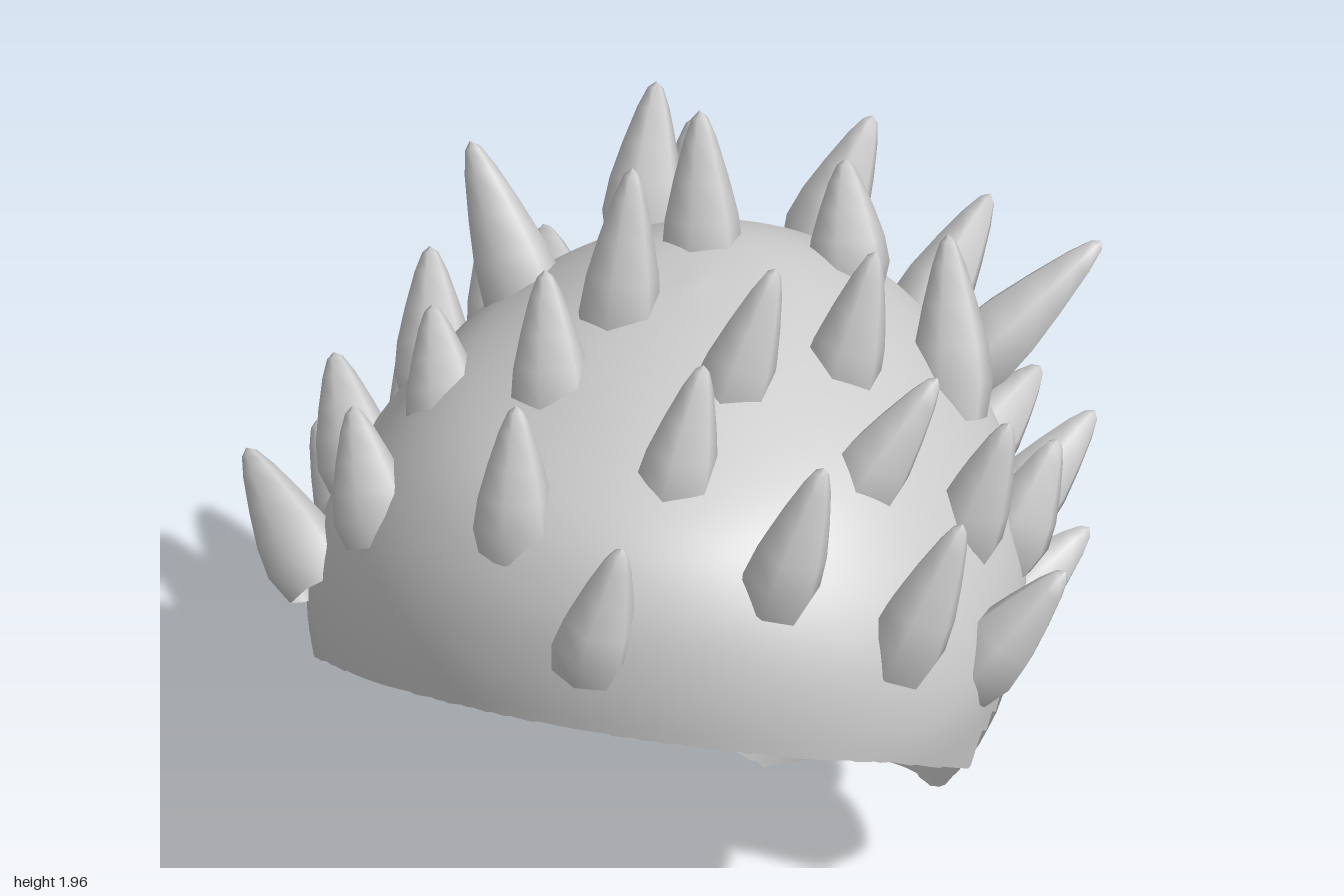
import * as THREE from 'three';

const V = (x, y, z) => new THREE.Vector3(x, y, z);

// Horizontal rings of the dome, top to bottom: y, front z, back z, half width, z of widest point
const RINGS = [
  [1.67, 0.05, 0.05, 0, 0.05], [1.65, 0.28, -0.14, 0.16, 0.08], [1.6, 0.52, -0.27, 0.3, 0.14],
  [1.5, 0.77, -0.42, 0.48, 0.24], [1.37, 0.9, -0.58, 0.61, 0.31], [1.2, 0.965, -0.7, 0.72, 0.35],
  [1.0, 0.985, -0.78, 0.775, 0.35], [0.8, 0.97, -0.8, 0.755, 0.35], [0.6, 0.95, -0.74, 0.72, 0.35],
  [0.4, 0.9, -0.655, 0.655, 0.35], [0.2, 0.9, -0.57, 0.6, 0.35], [-0.02, 0.9, -0.455, 0.52, 0.35],
];
const sides = new THREE.CatmullRomCurve3(RINGS.map(r => V(r[3], r[0], r[4])), false, 'catmullrom');
const ends = new THREE.CatmullRomCurve3(RINGS.map(r => V(r[1], r[2], 0)), false, 'catmullrom');

// Point on the dome: s runs from the crown down, a runs around from the front
function domePoint(s, a) {
  const p = sides.getPoint(s), e = ends.getPoint(s), c = Math.cos(a);
  const z = p.z + c * (c > 0 ? e.x - p.z : p.z - e.y);
  return V(p.x * Math.sin(a), p.y, z);
}

// Side outline of the opening: z, y, from the nape to the brim
const CUT = [[-0.46, 0], [-0.21, 0.23], [-0.09, 0.44], [-0.06, 0.6], [-0.045, 0.84],
  [0.4, 0.84], [0.43, 0.77], [0.7, 0.95], [0.99, 1.105]];
function cutHeight(p) {
  let y = p.z < CUT[0][0] ? 0 : CUT[CUT.length - 1][1];
  for (let i = 1; i < CUT.length; i++) {
    const [z0, y0] = CUT[i - 1], [z1, y1] = CUT[i];
    if (p.z >= z0 && p.z < z1) y = y0 + (y1 - y0) * (p.z - z0) / (z1 - z0);
  }
  // Torn edge over the ears
  if (p.z > -0.04 && p.z < 0.39) y += 0.05 * (((p.z + 1) / 0.075) % 1) - 0.02;
  return Math.max(y, 0.42 * Math.abs(p.x));
}

function shellGeometry(cols = 300, rows = 40) {
  const pos = [], index = [];
  for (let i = 0; i < cols; i++) {
    const a = (i / cols) * Math.PI * 2;
    let end = 0.2;
    while (end < 1) {
      const p = domePoint(end, a);
      if (p.y <= cutHeight(p)) break;
      end = Math.min(1, end + 0.002);
    }
    for (let j = 0; j <= rows; j++) pos.push(...domePoint(end * j / rows, a).toArray());
    const n = ((i + 1) % cols) * (rows + 1), m = i * (rows + 1);
    for (let j = 0; j < rows; j++) {
      if (j) index.push(m + j, m + j + 1, n + j);
      index.push(n + j, m + j + 1, n + j + 1);
    }
  }
  const g = new THREE.BufferGeometry();
  g.setAttribute('position', new THREE.Float32BufferAttribute(pos, 3));
  g.setIndex(index);
  g.computeVertexNormals();
  // All crown vertices share one normal
  for (let i = 0; i < cols; i++) g.attributes.normal.setXYZ(i * (rows + 1), 0, 1, 0);
  return g;
}

// Spikes as base x, y, z then tip x, y, z
const CROWN_SPIKES = [
  [-0.14, 1.62, 0.17, -0.14, 1.955, 0.07], [-0.04, 1.6, -0.13, -0.08, 1.91, -0.24],
  [0.16, 1.58, 0.32, 0.235, 1.865, 0.22], [0.35, 1.53, 0.11, 0.405, 1.815, 0.03],
  [-0.22, 1.55, 0.41, -0.27, 1.81, 0.3], [0.12, 1.52, 0.6, 0.155, 1.78, 0.5],
  [-0.2, 1.45, 0.76, -0.22, 1.715, 0.68], [0.03, 1.29, 0.93, 0.09, 1.545, 0.9],
  [-0.42, 1.46, -0.05, -0.585, 1.77, -0.17], [0.24, 1.53, -0.31, 0.2, 1.72, -0.41],
  [-0.26, 1.48, -0.4, -0.28, 1.72, -0.57], [0.1, 1.4, -0.58, 0.17, 1.62, -0.72],
];
const LEFT_SPIKES = [
  [0.4, 1.4, 0.72, 0.48, 1.68, 0.66], [0.47, 1.42, 0.37, 0.615, 1.67, 0.25],
  [0.76, 1.02, 0.37, 0.92, 1.24, 0.29], [0.65, 1.2, 0.6, 0.755, 1.49, 0.52],
  [0.66, 1.23, 0.2, 0.745, 1.5, 0.14], [0.7, 1.07, -0.04, 0.77, 1.27, -0.14],
  [0.53, 1.36, -0.14, 0.47, 1.65, -0.3], [0.5, 1.25, -0.4, 0.735, 1.49, -0.59],
  [0.64, 0.97, -0.29, 0.76, 1.13, -0.455], [0.6, 0.65, -0.36, 0.73, 0.77, -0.51],
];
const RIGHT_SPIKES = [
  [-0.61, 0.68, -0.42, -0.72, 0.8, -0.61], [-0.55, 1.16, -0.34, -0.62, 1.39, -0.465],
  [-0.68, 0.93, -0.17, -0.77, 1.1, -0.3], [-0.6, 1.29, 0.04, -0.655, 1.52, -0.1],
  [-0.76, 0.92, 0.1, -0.885, 1.07, 0], [-0.71, 1.18, 0.26, -0.805, 1.36, 0.13],
  [-0.48, 1.42, 0.35, -0.55, 1.61, 0.23], [-0.74, 1.1, 0.55, -0.92, 1.27, 0.41],
  [-0.57, 1.3, 0.6, -0.65, 1.5, 0.5],
];
const BACK_SPIKES = [
  [-0.02, 1.0, -0.78, -0.05, 1.1, -1], [0.19, 0.72, -0.75, 0.185, 0.8, -0.96],
  [0.3, 1.14, -0.67, 0.385, 1.33, -0.9], [-0.34, 0.8, -0.7, -0.39, 0.89, -0.88],
  [-0.22, 1.26, -0.66, -0.28, 1.43, -0.85], [0.45, 0.88, -0.61, 0.535, 0.98, -0.78],
  [-0.49, 1.02, -0.58, -0.6, 1.13, -0.77],
];

// Six-sided, softly swelling horn, one unit long and open at its root
const spikeGeometry = new THREE.LatheGeometry(
  [[0.075, 0], [0.092, 0.2], [0.083, 0.4], [0.062, 0.62], [0.037, 0.84], [0.018, 0.96], [0, 1]]
    .map(([r, y]) => new THREE.Vector2(r, y)), 6);

function makeSpike([bx, by, bz, tx, ty, tz], material) {
  const base = V(bx, by, bz), tip = V(tx, ty, tz);
  const dir = tip.clone().sub(base).normalize();
  base.addScaledVector(dir, -0.07); // root passes through the shell
  const spike = new THREE.Mesh(spikeGeometry, material);
  spike.name = 'spike';
  spike.position.copy(base);
  spike.scale.y = base.distanceTo(tip);
  spike.quaternion.setFromUnitVectors(V(0, 1, 0), dir);
  return spike;
}

export function createModel() {
  const model = new THREE.Group();
  model.name = 'spikedHelmet';
  const material = new THREE.MeshStandardMaterial({ color: 0xcccccc, side: THREE.DoubleSide });

  const shell = new THREE.Mesh(shellGeometry(), material);
  shell.name = 'shell';
  model.add(shell);

  const sets = { crownSpikes: CROWN_SPIKES, leftSpikes: LEFT_SPIKES, rightSpikes: RIGHT_SPIKES, backSpikes: BACK_SPIKES };
  for (const [name, list] of Object.entries(sets)) {
    const group = new THREE.Group();
    group.name = name;
    list.forEach(s => group.add(makeSpike(s, material)));
    model.add(group);
  }
  return model;
}
